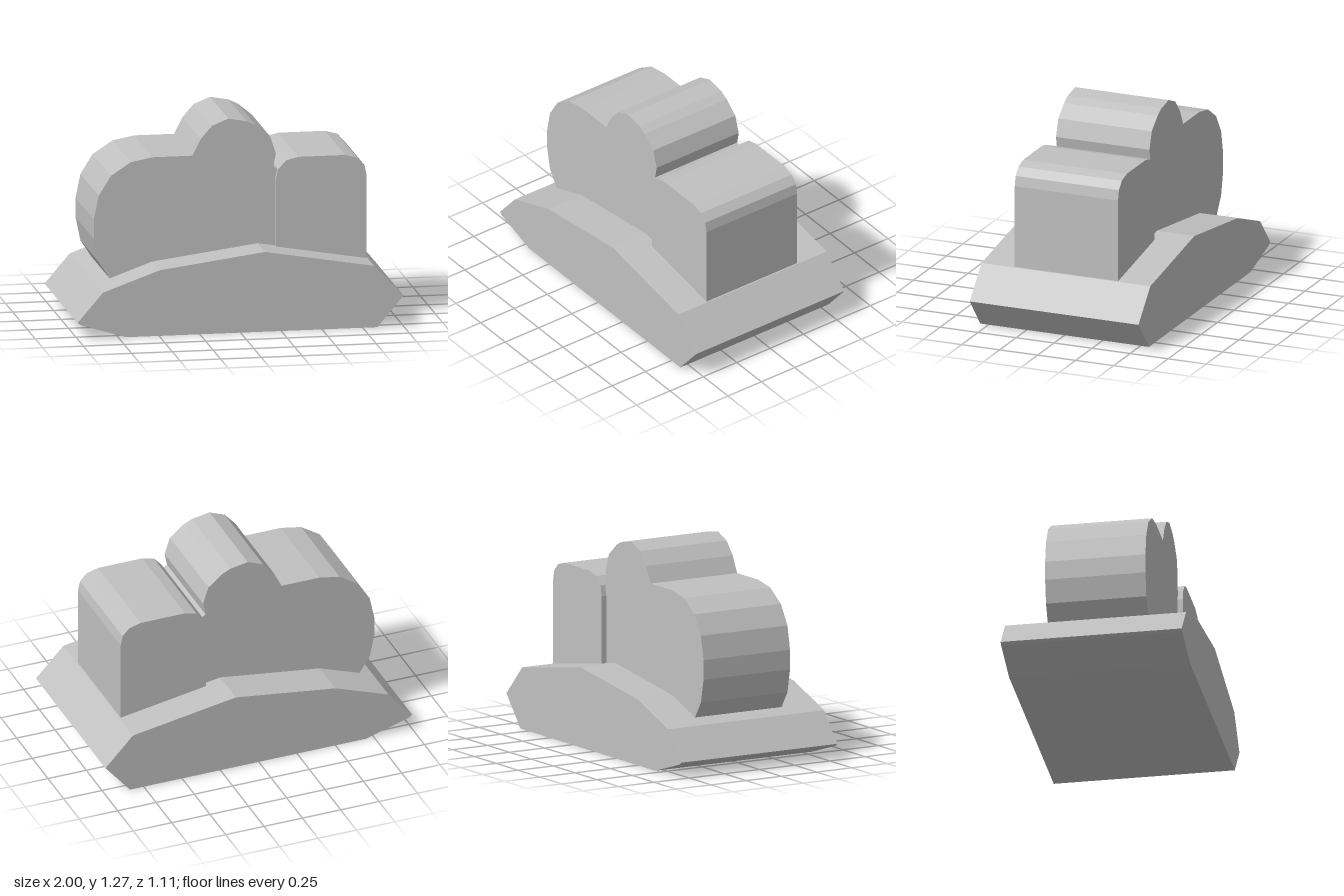
import * as THREE from 'three';

const stone = new THREE.MeshStandardMaterial({ color: 0xc0c0c0, flatShading: true });
stone.name = 'plain grey';

// Straight-edged outline in x/y, extruded evenly either side of z = 0
function slab(name, outline, depth) {
  const shape = new THREE.Shape(outline.map(([x, y]) => new THREE.Vector2(x, y)));
  const geometry = new THREE.ExtrudeGeometry(shape, { depth, bevelEnabled: false });
  geometry.translate(0, 0, -depth / 2);
  const mesh = new THREE.Mesh(geometry, stone);
  mesh.name = name;
  return mesh;
}

export function createModel() {
  const model = new THREE.Group();
  model.name = 'steppedModel';

  // Wide faceted base
  model.add(slab('base', [
    [-0.70, 0], [0.84, 0], [1, 0.19], [0.82, 0.38], [0.15, 0.493],
    [-0.50, 0.405], [-0.845, 0.28], [-1, 0.10], [-0.98, 0.085],
  ], 1.11));

  // Rounded body with the raised dome
  model.add(slab('domedBody', [
    [-0.70, 0.25], [0.268, 0.25], [0.268, 0.95], [0.246, 0.963], [0.262, 1.043],
    [0.227, 1.15], [0.14, 1.222], [0.083, 1.25], [-0.03, 1.27], [-0.13, 1.23],
    [-0.20, 1.15], [-0.25, 1.05], [-0.495, 1.05], [-0.628, 1.025], [-0.75, 0.945],
    [-0.825, 0.825], [-0.855, 0.68], [-0.855, 0.56], [-0.825, 0.415], [-0.757, 0.31],
  ], 0.615));

  // Upright block with rounded top corners
  model.add(slab('sideBlock', [
    [0.257, 0.30], [0.813, 0.30], [0.813, 0.895], [0.80, 0.957], [0.757, 1.003],
    [0.682, 1.024], [0.393, 1.024], [0.318, 1.005], [0.27, 0.952], [0.257, 0.89],
  ], 0.68));

  return model;
}
